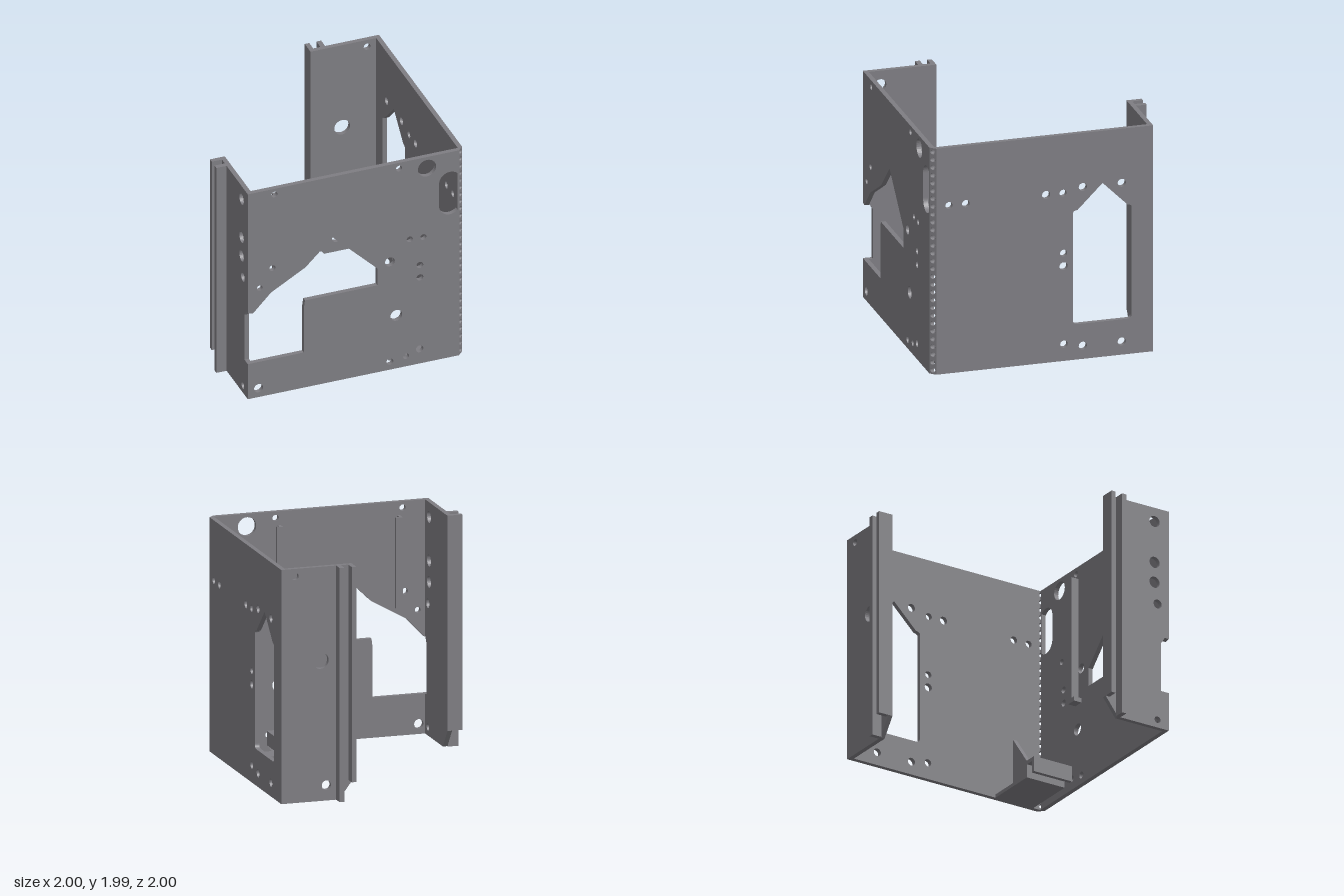
import * as THREE from 'three';

const H = 1.985, T = 0.04; // panel height and sheet thickness
const EDGE = 0.954; // where the panels meet the chamfered corner
const paint = { color: 0x7e7d82, flatShading: true };
const grey = new THREE.MeshStandardMaterial(paint);
const greyBoth = new THREE.MeshStandardMaterial({ ...paint, side: THREE.DoubleSide });

// Extruded plate from outline points with round holes [x, y, r] and extra cut-out paths
function plate(points, holes = [], cutouts = [], depth = T) {
  const shape = new THREE.Shape(points.map(([x, y]) => new THREE.Vector2(x, y)));
  for (const [x, y, r] of holes) shape.holes.push(new THREE.Path().absarc(x, y, r, 0, Math.PI * 2, true));
  shape.holes.push(...cutouts);
  return new THREE.ExtrudeGeometry(shape, { depth, bevelEnabled: false, curveSegments: 14 });
}

// Turns a plate so its drawing x runs along z and its thickness runs towards -x
const sideways = (geo, x) => geo.rotateY(-Math.PI / 2).translate(x, 0, 0);

// Slants the inner edge next to the perforated corner
function slantEdge(geo, along, across) {
  const p = geo.attributes.position;
  for (let i = 0; i < p.count; i++) {
    const a = p.getComponent(i, along);
    if (a > 0.95 && p.getComponent(i, across) < 0.98) p.setComponent(i, along, a - 0.01);
  }
  geo.computeVertexNormals();
  return geo;
}

// Half of the chamfered corner strip, with half-round notches on the mid line
function cornerHalf(swap) {
  const n = 29, step = H / n, c = (1 - EDGE) / 2;
  const s = new THREE.Shape().moveTo(0, 0).lineTo(1, 0).lineTo(1, H).lineTo(0, H);
  for (let i = n - 1; i >= 0; i--) s.absellipse(0, (i + 0.5) * step, 0.72, 0.02, Math.PI / 2, -Math.PI / 2, true);
  const geo = new THREE.ExtrudeGeometry(s, { depth: 1, bevelEnabled: false, curveSegments: 8 });
  const p = geo.attributes.position;
  for (let i = 0; i < p.count; i++) {
    const u = p.getX(i), outer = p.getZ(i) > 0.5;
    const a = outer ? 1 - c - c * u : 0.96 - 0.016 * u;
    const b = outer ? 1 - c + c * u : 0.96;
    p.setXYZ(i, swap ? b : a, p.getY(i), swap ? a : b);
  }
  geo.computeVertexNormals();
  return geo;
}

export function createModel() {
  const model = new THREE.Group();
  const add = (name, geo, mat = grey) => {
    const m = new THREE.Mesh(geo, mat);
    m.name = name;
    model.add(m);
  };
  const box = (name, x0, x1, y0, y1, z0, z1) =>
    add(name, new THREE.BoxGeometry(x1 - x0, y1 - y0, z1 - z0)
      .translate((x0 + x1) / 2, (y0 + y1) / 2, (z0 + z1) / 2));

  // Front panel with a stepped window open at its side edge, and a tall slot cut off by the corner
  const cut = 0.788;
  const slot = new THREE.Path()
    .absarc(0.875, 1.7, 0.095, cut, Math.PI, false)
    .absarc(0.875, 1.48, 0.095, Math.PI, Math.PI * 2 - cut, false);
  slot.closePath();
  const front = plate(
    [[-0.91, 0], [EDGE, 0], [EDGE, H], [-0.91, H], [-0.91, 0.83], [-0.865, 0.82], [-0.705, 0.987], [-0.4, 1.162],
      [-0.16, 1.397], [0.235, 1.005], [0.235, 0.842], [-0.405, 0.842], [-0.415, 0.77], [-0.415, 0.34], [-0.91, 0.34]],
    [[-0.675, 1.93, 0.027], [0.425, 1.93, 0.027], [0.673, 1.877, 0.08], [-0.693, 1.22, 0.027],
      [0.52, 1.222, 0.027], [0.64, 1.217, 0.027], [-0.805, 1.053, 0.025], [0.345, 1.044, 0.043],
      [0.61, 0.953, 0.03], [0.61, 0.833, 0.03], [0.402, 0.513, 0.052], [-0.815, 0.086, 0.04],
      [0.345, 0.078, 0.03], [0.487, 0.098, 0.027], [0.607, 0.141, 0.033]],
    [slot]).translate(0, 0, 0.96);
  add('frontPanel', slantEdge(front, 0, 2));

  // Full side panel with a pointed window
  const win = new THREE.Path().moveTo(-0.685, 0.31).lineTo(-0.26, 0.31)
    .quadraticCurveTo(-0.22, 0.31, -0.22, 0.35).lineTo(-0.22, 1.29)
    .quadraticCurveTo(-0.225, 1.31, -0.26, 1.313).lineTo(-0.475, 1.527).lineTo(-0.69, 1.313)
    .quadraticCurveTo(-0.725, 1.31, -0.725, 1.29).lineTo(-0.725, 0.35)
    .quadraticCurveTo(-0.725, 0.31, -0.685, 0.31);
  const side = plate(
    [[-0.91, 0], [EDGE, 0], [EDGE, H], [-0.91, H]],
    [[0.845, 1.475, 0.03], [0.7, 1.475, 0.032], [0.01, 1.475, 0.035], [-0.135, 1.475, 0.03],
      [-0.305, 1.51, 0.035], [-0.64, 1.51, 0.035], [-0.14, 0.947, 0.03], [-0.14, 0.832, 0.035],
      [-0.143, 0.147, 0.032], [-0.305, 0.116, 0.035], [-0.64, 0.116, 0.035]],
    [win]);
  add('leftPanel', slantEdge(sideways(side, 1), 2, 0));

  // Perforated corner where the two panels meet
  add('cornerStripFront', cornerHalf(false), greyBoth);
  add('cornerStripSide', cornerHalf(true), greyBoth);

  // Back flange and short side flange, each with a cut lower corner
  add('backFlange', plate(
    [[0.38, 0.16], [0.5, 0], [0.96, 0], [0.96, H], [0.38, H]],
    [[0.66, 1.19, 0.07], [0.61, 0.13, 0.04], [0.88, 1.92, 0.03]]).translate(0, 0, -0.91));
  add('rightFlange', sideways(plate(
    [[0.38, 0.16], [0.5, 0], [0.96, 0], [0.96, 0.34], [0.925, 0.34], [0.925, 0.775], [0.96, 0.83], [0.96, H], [0.38, H]],
    [[0.86, 1.86, 0.05], [0.86, 1.49, 0.05], [0.86, 1.31, 0.05], [0.89, 1.12, 0.04], [0.89, 0.07, 0.03]]), -0.87));

  // Pairs of upright ribs forming a groove on each flange
  for (const [a, b, y] of [[0.38, 0.42, 0.16], [0.483, 0.525, 0]]) {
    box('backRib', a, b, y, H, -1, -0.91);
    box('rightRib', -1, -0.91, y, H, a, b);
  }

  // L-shaped guide rails behind the front panel, one with a foot at the lower end
  box('guideWeb', -0.65, -0.625, 1.1, 1.87, 0.88, 0.96);
  box('guideLip', -0.625, -0.59, 1.1, 1.87, 0.88, 0.905);
  box('guideWeb', 0.385, 0.41, 0.76, 1.87, 0.89, 0.96);
  box('guideLip', 0.41, 0.435, 0.76, 1.87, 0.89, 0.915);
  box('guideFoot', 0.345, 0.435, 0.735, 0.775, 0.89, 0.96);

  // Shelf with a hooked end, braced by a triangular gusset
  add('hookedShelf', plate(
    [[0.38, 0.015], [0.415, 0.015], [0.415, 0.118], [0.488, 0.118], [0.488, 0], [0.96, 0],
      [0.96, 0.03], [0.525, 0.03], [0.525, 0.152], [0.38, 0.152]],
    [], [], 0.37).translate(0, 0, 0.52));
  add('gusset', plate([[0.55, 0.03], [0.96, 0.03], [0.96, 0.57]]).translate(0, 0, 0.69));

  return model;
}
